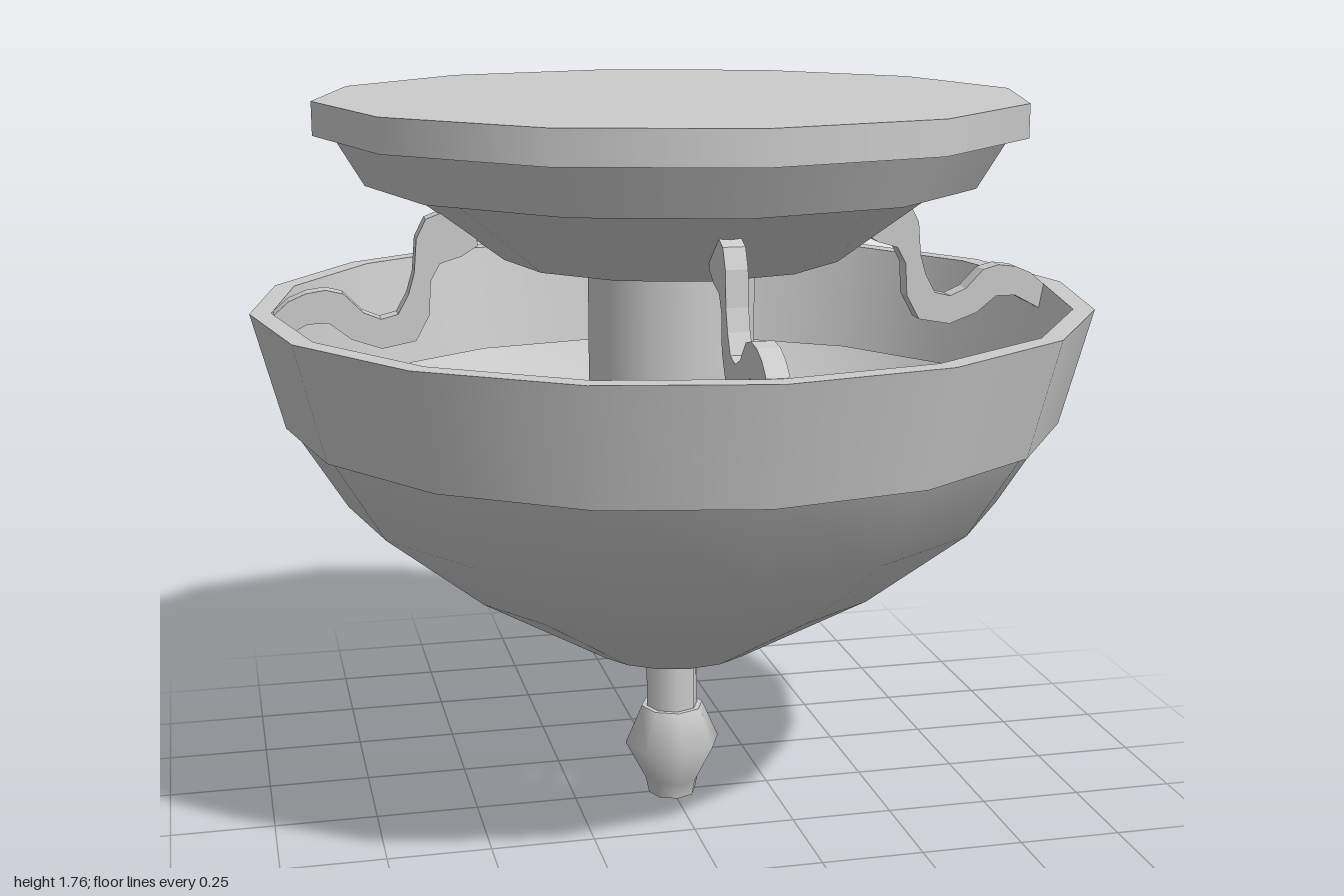
import * as THREE from 'three';
import { mergeGeometries } from 'three/addons/utils/BufferGeometryUtils.js';

const material = new THREE.MeshStandardMaterial({ color: 0xcccccc });
const shellMaterial = new THREE.MeshStandardMaterial({ color: 0xcccccc, side: THREE.DoubleSide });

// Each section is a smooth run of [radius, height] points; edges between sections stay sharp.
function turned(name, sides, sections, mat = material) {
  const geometries = sections.map((points) =>
    new THREE.LatheGeometry(points.map(([r, y]) => new THREE.Vector2(r, y)), sides));
  const mesh = new THREE.Mesh(mergeGeometries(geometries), mat);
  mesh.name = name;
  return mesh;
}

// Splits a profile so that every corner is sharp.
function sharp(points) {
  return points.slice(1).map((p, i) => [points[i], p]);
}

export function createModel() {
  const group = new THREE.Group();
  group.name = 'ceilingLamp';

  // Stepped canopy against the ceiling
  group.add(turned('canopy', 12, sharp([
    [0, 1.38], [0.405, 1.38], [0.65, 1.563], [0.725, 1.563],
    [0.795, 1.68], [0.84, 1.68], [0.84, 1.758], [0, 1.758],
  ])));

  // Central column, running down into the bowl
  group.add(turned('column', 12, sharp([[0, 0.44], [0.205, 0.44], [0.205, 1.4]])));

  // Thin shade bowl with a shallow recess underneath
  group.add(turned('bowl', 16, [
    [[0.205, 0.44], [0.205, 0.4]],
    [[0.205, 0.4], [0.54, 0.6], [0.79, 0.8], [0.915, 1.0]],
  ], shellMaterial));

  // Flared rim band
  group.add(turned('rim', 16, sharp([
    [0.9, 1.0], [0.928, 1.0], [1.0, 1.275], [0.95, 1.275], [0.9, 1.0],
  ])));

  // Lower stem and finial
  group.add(turned('stem', 8, [[[0.065, 0.22], [0.065, 0.45]]]));
  group.add(turned('finial', 8, [
    [[0, 0], [0.06, 0]],
    [[0.06, 0], [0.068, 0.04], [0.12, 0.14], [0.078, 0.235]],
    [[0.078, 0.235], [0, 0.235]],
  ]));

  // Four curved arms from the canopy to the rim
  const outline = [
    [0.48, 1.5], [0.55, 1.5], [0.59, 1.485], [0.613, 1.44], [0.62, 1.36], [0.635, 1.31],
    [0.66, 1.265], [0.7, 1.255], [0.74, 1.272], [0.785, 1.318], [0.825, 1.328], [0.87, 1.322],
    [0.91, 1.305], [0.945, 1.275], [0.935, 1.215], [0.87, 1.25], [0.82, 1.25], [0.77, 1.21],
    [0.7, 1.185], [0.62, 1.2], [0.587, 1.26], [0.582, 1.34], [0.56, 1.38], [0.51, 1.395],
    [0.47, 1.42],
  ];
  const shape = new THREE.Shape(outline.map(([x, y]) => new THREE.Vector2(x, y)));
  const armGeometry = new THREE.ExtrudeGeometry(shape, { depth: 0.05, bevelEnabled: false });
  armGeometry.translate(0, 0, -0.025);
  for (let i = 0; i < 4; i++) {
    const arm = new THREE.Mesh(armGeometry, material);
    arm.name = 'arm' + (i + 1);
    arm.rotation.y = i * Math.PI / 2;
    group.add(arm);
  }

  return group;
}
